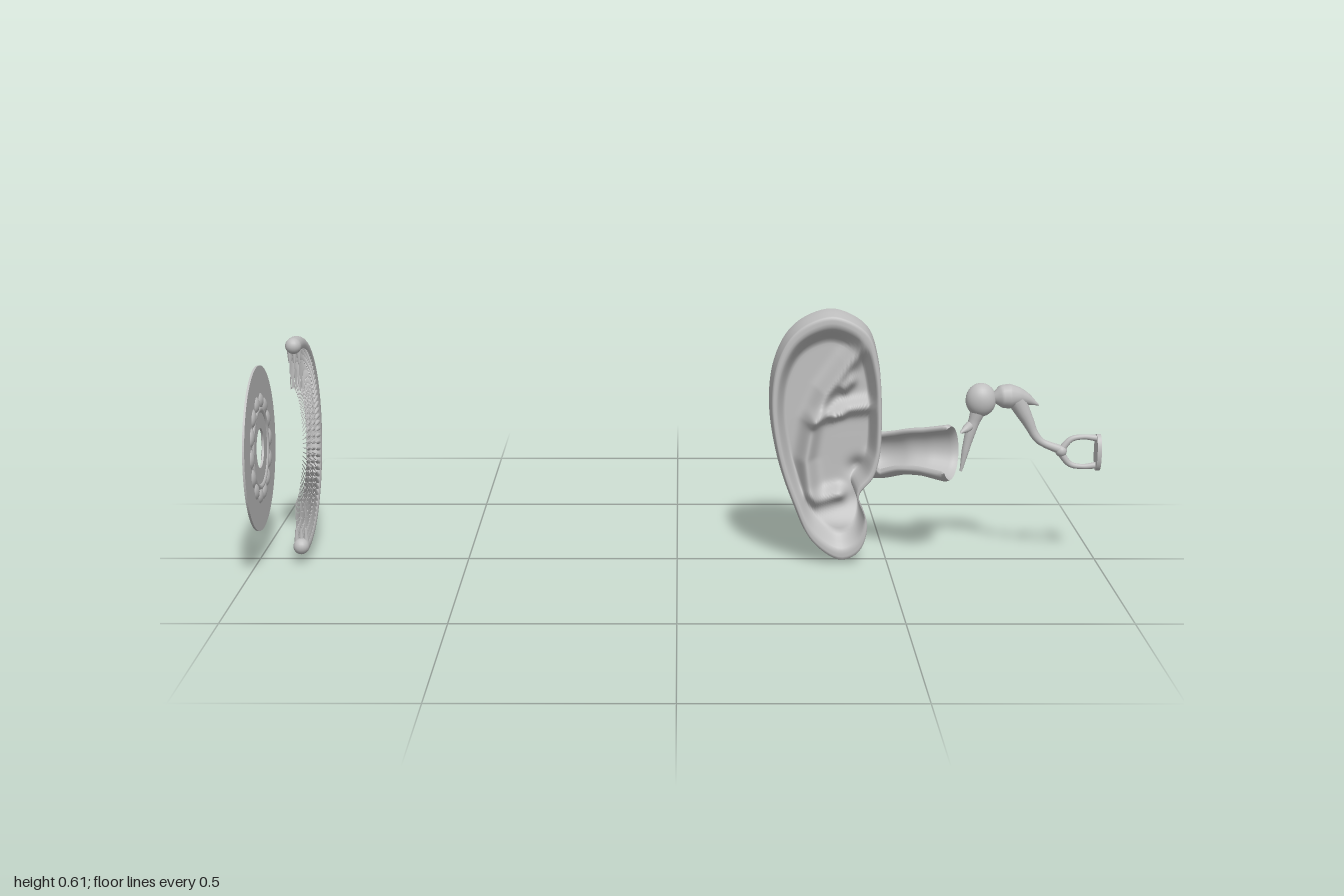
import * as THREE from 'three';
import { mergeGeometries } from 'three/addons/utils/BufferGeometryUtils.js';

const grey = new THREE.MeshStandardMaterial({ color: 0xbfbfbf, side: THREE.DoubleSide });
grey.name = 'plain grey';

const V = (x, y, z) => new THREE.Vector3(x, y, z);
const lerp = THREE.MathUtils.lerp, smooth = THREE.MathUtils.smoothstep;

function add(group, name, geometry, x = 0, y = 0, z = 0) {
  const mesh = new THREE.Mesh(geometry, grey);
  mesh.name = name;
  mesh.position.set(x, y, z);
  group.add(mesh);
  return mesh;
}

// Smooth skin over rows of points, each row a closed loop
function skin(rows) {
  const n = rows[0].length, pos = [], index = [];
  rows.forEach(row => row.forEach(p => pos.push(p.x, p.y, p.z)));
  for (let r = 0; r < rows.length - 1; r++) for (let i = 0; i < n; i++) {
    const j = (i + 1) % n, a = r * n, b = a + n;
    index.push(a + i, b + i, b + j, a + i, b + j, a + j);
  }
  const g = new THREE.BufferGeometry();
  g.setAttribute('position', new THREE.Float32BufferAttribute(pos, 3));
  g.setIndex(index);
  g.computeVertexNormals();
  return g;
}

// Sweep along a curve; section(t) gives a list of [angle, radius], angle 0 is up, then towards -z
function sweep(points, steps, section) {
  const curve = new THREE.CatmullRomCurve3(points), rows = [];
  for (let k = 0; k <= steps; k++) {
    const t = k / steps, c = curve.getPoint(t), T = curve.getTangent(t);
    const S = V().crossVectors(T, Math.abs(T.y) > 0.9 ? V(-Math.sign(T.y), 0, 0) : V(0, 1, 0)).normalize();
    const U = V().crossVectors(S, T);
    rows.push(section(t).map(([a, r]) => c.clone().addScaledVector(U, r * Math.cos(a)).addScaledVector(S, -r * Math.sin(a))));
  }
  return skin(rows);
}

// Value at t in an evenly spaced list
function sample(list, t) {
  const f = t * (list.length - 1), i = Math.min(Math.floor(f), list.length - 2);
  return lerp(list[i], list[i + 1], f - i);
}

function limb(points, radii) {
  return sweep(points, 28, t => Array.from({ length: 14 }, (_, i) => [i / 14 * Math.PI * 2, sample(radii, t)]));
}

function segmentDistance(x, y, [ax, ay], [bx, by]) {
  const dx = bx - ax, dy = by - ay;
  const t = THREE.MathUtils.clamp(((x - ax) * dx + (y - ay) * dy) / (dx * dx + dy * dy), 0, 1);
  return Math.hypot(x - ax - t * dx, y - ay - t * dy);
}

// Folds inside the ear: path, width, height
const folds = [
  [[[0.315, 0.17], [0.305, 0.25], [0.32, 0.34], [0.35, 0.41], [0.4, 0.48], [0.44, 0.53]], 0.02, 0.045],
  [[[0.325, 0.35], [0.38, 0.37], [0.46, 0.38]], 0.017, 0.03],
  [[[0.395, 0.425], [0.41, 0.44]], 0.014, 0.028],
  [[[0.37, 0.36], [0.385, 0.363]], 0.013, 0.03],
  [[[0.465, 0.25], [0.45, 0.19]], 0.016, 0.04],
  [[[0.33, 0.15], [0.385, 0.165]], 0.018, 0.03],
];

function earFront(x, y, s) {
  let z = lerp(-0.018, 0.012, smooth(-y, -0.16, -0.08));
  for (const [path, width, height] of folds) {
    let d = 1;
    for (let i = 0; i < path.length - 1; i++) d = Math.min(d, segmentDistance(x, y, path[i], path[i + 1]));
    z += height * Math.exp(-((d / width) ** 2));
  }
  z -= 0.02 * Math.exp(-(((x - 0.43) ** 2 + (y - 0.225) ** 2) / 0.0005));
  return lerp(Math.max(z, -0.035), 0.045, smooth(s, 0.74, 0.9));
}

// Outer ear: a carved front, a bevelled wall and a flat back
function outerEar() {
  const outline = new THREE.CatmullRomCurve3([
    [0.37, 0.61], [0.31, 0.597], [0.262, 0.56], [0.228, 0.49], [0.217, 0.39], [0.236, 0.26], [0.274, 0.145],
    [0.32, 0.05], [0.39, 0.004], [0.435, 0.025], [0.454, 0.09], [0.432, 0.165], [0.465, 0.21],
    [0.48, 0.26], [0.484, 0.36], [0.474, 0.49], [0.445, 0.57],
  ].map(([x, y]) => V(x, y, 0)), true);
  const edge = outline.getSpacedPoints(128).slice(0, -1), rings = [];
  for (let k = 0; k <= 40; k++) rings.push([0.002 + 0.938 * k / 40, null]);
  rings.push([0.962, 0.044], [0.97, 0.038], [0.985, 0.01], [1, -0.015], [0.99, -0.03], [0.965, -0.046], [0.93, -0.053]);
  for (let k = 0; k <= 4; k++) rings.push([lerp(0.85, 0.002, k / 4), -0.056]);
  return skin(rings.map(([s, z]) => edge.map(e => {
    const x = lerp(0.365, e.x, s), y = lerp(0.3, e.y, s);
    if (z === null) return V(x, y, earFront(x, y, s));
    return V(x, y, z < -0.02 ? z * (1.15 - 0.6 * y) : z);
  })));
}

// Ear canal: a bent hollow tube cut open towards the front
function earCanal() {
  const radii = [0.046, 0.05, 0.054, 0.056, 0.054, 0.058, 0.07], m = 22;
  return sweep([V(0.425, 0.24, -0.045), V(0.44, 0.238, -0.08), V(0.49, 0.24, -0.083), V(0.56, 0.257, -0.05), V(0.65, 0.262, -0.01)], 44, t => {
    const open = smooth(t, 0.3, 0.5), r = sample(radii, t), list = [];
    const from = lerp(0, -0.15, open), to = lerp(Math.PI * 2, 4.1, open);
    const thick = t === 1 ? 0 : 0.011;
    for (let i = 0; i <= m; i++) list.push([lerp(from, to, i / m), t === 1 ? r - 0.006 : r]);
    for (let i = m; i >= 0; i--) list.push([lerp(from, to, i / m), (t === 1 ? r - 0.006 : r) - thick]);
    return list;
  });
}

function hammerBone() {
  const g = new THREE.Group();
  g.name = 'hammerBone';
  add(g, 'hammerHead', new THREE.SphereGeometry(1, 24, 16), 0.715, 0.397, 0.01).scale.set(0.036, 0.04, 0.03);
  add(g, 'hammerHandle', limb([V(0.713, 0.38, 0.01), V(0.697, 0.335, 0.012), V(0.685, 0.29, 0.014), V(0.672, 0.225, 0.016)],
    [0.02, 0.014, 0.012, 0.009, 0.003]));
  add(g, 'hammerProcess', limb([V(0.665, 0.325, 0.046), V(0.69, 0.335, 0.015), V(0.692, 0.33, -0.026)], [0.002, 0.009, 0.011, 0.008, 0.002]));
  return g;
}

function anvilBone() {
  const g = new THREE.Group();
  g.name = 'anvilBone';
  add(g, 'anvilBody', limb([V(0.745, 0.402, 0.01), V(0.775, 0.405, 0.008), V(0.81, 0.402, 0.006), V(0.853, 0.383, 0.004)],
    [0.012, 0.027, 0.03, 0.023, 0.013, 0.001]));
  add(g, 'anvilLongProcess', limb([V(0.8, 0.395, 0.008), V(0.825, 0.35, 0.01), V(0.855, 0.3, 0.012), V(0.905, 0.277, 0.014)],
    [0.022, 0.017, 0.011, 0.009, 0.011]));
  return g;
}

function stirrupBone() {
  const g = new THREE.Group();
  g.name = 'stirrupBone';
  add(g, 'stirrupHead', new THREE.SphereGeometry(0.014, 16, 12), 0.908, 0.274, 0.014);
  for (const side of [-1, 1]) add(g, 'stirrupArm', limb(
    [V(0.905, 0.272, 0.014), V(0.93, 0.272 + side * 0.03, 0.014), V(0.96, 0.272 + side * 0.036, 0.014), V(0.992, 0.272 + side * 0.033, 0.014)],
    [0.009, 0.007, 0.006, 0.008]));
  const plate = add(g, 'stirrupFootplate', new THREE.CylinderGeometry(1, 1, 0.01, 32), 0.995, 0.271, 0.015);
  plate.rotation.z = Math.PI / 2;
  plate.scale.set(0.044, 1, 0.025);
  return g;
}

// Thin disc with a hole and a lumpy ring on its outer side
function cochleaDisc() {
  const g = new THREE.Group();
  g.name = 'cochleaDisc';
  const ring = new THREE.Shape().absarc(0, 0, 0.195, 0, Math.PI * 2);
  ring.holes.push(new THREE.Path().absarc(0, 0, 0.047, 0, Math.PI * 2, true));
  add(g, 'discPlate', new THREE.ExtrudeGeometry(ring, { depth: 0.005, bevelEnabled: false, curveSegments: 48 }));
  const lumps = [];
  for (let i = 0; i < 14; i++) {
    const a = i / 14 * Math.PI * 2;
    const lump = new THREE.SphereGeometry(1, 14, 10).scale(0.021, 0.026, 0.013);
    lumps.push(lump.rotateZ(a).translate(0.112 * Math.cos(a), 0.112 * Math.sin(a), -0.001));
  }
  lumps.push(new THREE.TorusGeometry(0.092, 0.009, 10, 56));
  add(g, 'lumpyRing', mergeGeometries(lumps));
  g.rotation.y = Math.PI / 2;
  g.position.set(-0.987, 0.285, 0.035);
  return g;
}

// Half ring with rows of tapered cells and fine hairs pointing inwards
function hairCellArc() {
  const g = new THREE.Group();
  g.name = 'hairCellArc';
  add(g, 'halfRing', new THREE.TorusGeometry(0.243, 0.019, 18, 64, Math.PI).rotateZ(-Math.PI / 2));
  for (const side of [-1, 1]) add(g, 'ringEnd', new THREE.SphereGeometry(0.019, 18, 12), 0, side * 0.243, 0);
  const cells = [], hairs = [], count = 44;
  for (let i = 0; i < count; i++) for (const row of [-0.011, 0, 0.011]) {
    const a = ((i + 0.5) / count - 0.5) * Math.PI;
    const place = geo => geo.translate(0, 0, row).rotateZ(a);
    cells.push(place(new THREE.CylinderGeometry(0.003, 0.0065, 0.032, 8).rotateZ(Math.PI / 2).translate(0.217, 0, 0)));
    hairs.push(place(new THREE.CylinderGeometry(0.0007, 0.0014, 0.064, 5).rotateZ(Math.PI / 2).translate(0.17, 0, 0)));
  }
  add(g, 'hairCells', mergeGeometries(cells));
  add(g, 'fineHairs', mergeGeometries(hairs));
  g.rotation.y = Math.PI / 2;
  g.position.set(-0.895, 0.287, 0.033);
  return g;
}

export function createModel() {
  const model = new THREE.Group();
  model.name = 'earAnatomy';
  add(model, 'outerEar', outerEar());
  add(model, 'earCanal', earCanal());
  model.add(hammerBone(), anvilBone(), stirrupBone(), cochleaDisc(), hairCellArc());
  return model;
}
